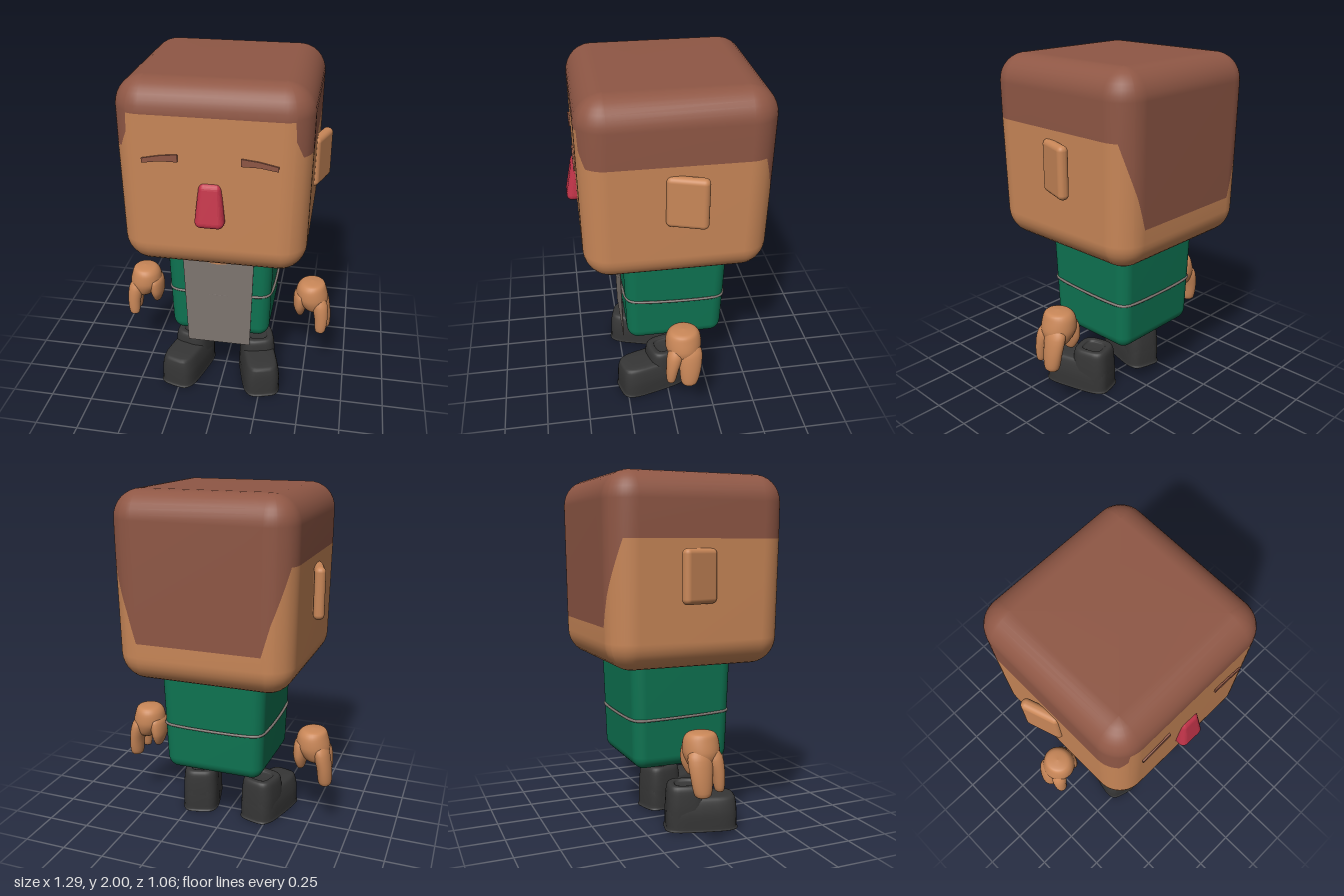
import * as THREE from 'three';
import { RoundedBoxGeometry } from 'three/addons/geometries/RoundedBoxGeometry.js';

const material = (name, color) => Object.assign(new THREE.MeshStandardMaterial({ color }), { name });
const { lerp, clamp, degToRad } = THREE.MathUtils;

// Closed surface through rings of points, listed bottom to top
function loft(rings) {
  const n = rings[0].length, index = [];
  for (let j = 0; j < rings.length - 1; j++) {
    for (let i = 0; i < n; i++) {
      const a = j * n + i, b = j * n + (i + 1) % n;
      index.push(a, b, b + n, a, b + n, a + n);
    }
  }
  const g = new THREE.BufferGeometry();
  g.setAttribute('position', new THREE.Float32BufferAttribute(rings.flat(2), 3));
  g.setIndex(index);
  g.computeVertexNormals();
  return g;
}

// Directions round a rounded rectangle: a is the angle away from the z axis
const ANGLES = [0, 9, 18, 25, 28, 36, 45, 52, 58, 66, 74, 82, 90];
const AROUND = [[1, 1], [1, -1], [-1, -1], [-1, 1]].flatMap(([sx, sz]) =>
  (sx * sz > 0 ? ANGLES : [...ANGLES].reverse()).map(a => ({ a, sx, sz })));

// Rounded, tapered block; lower / upper edge functions cut it open along a line
function block({ hw, hd, r, y0, y1, z, taper }, { lower, upper } = {}) {
  const point = (k, phi, y) => {
    const q = r * Math.cos(phi), a = degToRad(k.a), s = taper(y);
    return [k.sx * (hw - r + q * Math.sin(a)) * s, y, z + k.sz * (hd - r + q * Math.cos(a)) * s];
  };
  const edge = f => AROUND.map(k => point(k, 0, f(k)));
  const arc = (from, to, yc) => Array.from({ length: 9 }, (_, i) => {
    const phi = lerp(from, to, i / 8);
    return AROUND.map(k => point(k, phi, yc + r * Math.sin(phi)));
  });
  const centre = y => AROUND.map(() => [0, y, z]);
  return loft([
    ...(lower ? [edge(lower)] : [centre(y0), ...arc(-Math.PI / 2, 0, y0 + r)]),
    ...(upper ? [edge(upper)] : [...arc(0, Math.PI / 2, y1 - r), centre(y1)]),
  ]);
}

// Soft form through rows [x, y, z, half width, half depth]; n sets squareness
function limb(rows, n = 2, steps = 4) {
  const path = new THREE.CatmullRomCurve3(rows.map(r => new THREE.Vector3(r[0], r[1], r[2])), false, 'catmullrom', 0.4);
  const size = new THREE.CatmullRomCurve3(rows.map(r => new THREE.Vector3(r[3], r[4], 0)), false, 'catmullrom', 0.4);
  const count = (rows.length - 1) * steps, sides = 32;
  const power = v => Math.sign(v) * Math.abs(v) ** (2 / n);
  return loft(Array.from({ length: count + 1 }, (_, j) => {
    const c = path.getPoint(j / count), s = size.getPoint(j / count);
    return Array.from({ length: sides }, (_, i) => {
      const t = i / sides * Math.PI * 2;
      return [c.x + Math.max(0, s.x) * power(Math.sin(t)), c.y, c.z + Math.max(0, s.y) * power(Math.cos(t))];
    });
  }));
}

// Thin plate from an outline
function plate(points, depth = 0.005) {
  const shape = new THREE.Shape(points.map(p => new THREE.Vector2(...p)));
  return new THREE.ExtrudeGeometry(shape, { depth, bevelEnabled: false });
}

// Height of the hairline at each place round the head
function hairline({ a, sz }) {
  const stops = sz > 0
    ? [[0, 1.84], [25, 1.84], [28, 1.74], [45, 1.655], [90, 1.655]]
    : [[0, 1.2], [18, 1.37], [58, 1.655], [90, 1.655]];
  const i = stops.findIndex(s => s[0] >= a);
  if (i === 0) return stops[0][1];
  const [p, q] = [stops[i - 1], stops[i]];
  return lerp(p[1], q[1], (a - p[0]) / (q[0] - p[0]));
}

export function createModel() {
  const model = new THREE.Group();
  model.name = 'figure';
  const skin = material('skin', 0xc98758);
  const hair = material('hair', 0x8f5745);
  const green = material('green cloth', 0x0e7452);
  const grey = material('grey cloth', 0x7f7671);
  const red = material('red nose', 0xc03348);
  const dark = material('dark shoe', 0x363636);
  const add = (name, geometry, mat, parent = model) => {
    const mesh = new THREE.Mesh(geometry, mat);
    mesh.name = name;
    parent.add(mesh);
    return mesh;
  };

  // Head, split along the hairline
  const headForm = {
    hw: 0.503, hd: 0.505, r: 0.15, y0: 0.97, y1: 2, z: -0.025,
    taper: y => lerp(0.978, 1, clamp((y - 0.97) / 0.75, 0, 1)),
  };
  add('head', block(headForm, { upper: hairline }), skin);
  add('hair', block(headForm, { lower: hairline }), hair);

  // Nose, narrower and flatter at the top
  const nose = new RoundedBoxGeometry(0.16, 0.24, 0.1, 4, 0.035);
  const p = nose.attributes.position;
  for (let i = 0; i < p.count; i++) {
    const t = p.getY(i) / 0.24 + 0.5;
    p.setX(i, p.getX(i) * lerp(1, 0.72, t));
    p.setZ(i, p.getZ(i) - 0.045 * t);
  }
  nose.computeVertexNormals();
  add('nose', nose, red).position.set(0, 1.38, 0.485);

  // Body with a cord round it
  const bodyForm = {
    hw: 0.307, hd: 0.298, r: 0.07, y0: 0.39, y1: 1.08, z: -0.046,
    taper: y => lerp(0.94, 1, clamp((y - 0.39) / 0.58, 0, 1)),
  };
  add('body', block(bodyForm), green);
  const cordPoints = AROUND.filter(k => k.a % 45 === 0).map(({ a, sx, sz }) => {
    const t = degToRad(a), s = 0.972;
    const z = bodyForm.z + sz * (0.228 + 0.07 * Math.cos(t)) * s;
    return new THREE.Vector3(sx * (0.237 + 0.07 * Math.sin(t)) * s, 0.682 + 0.03 * z, z);
  });
  const cordPath = new THREE.CatmullRomCurve3(cordPoints, true, 'centripetal');
  add('cord', new THREE.TubeGeometry(cordPath, 120, 0.008, 8, true), grey);

  // Apron with the open neck and collar on top
  const apron = new THREE.Group();
  apron.name = 'apron';
  apron.position.z = 0.246;
  apron.rotation.x = 0.016;
  model.add(apron);
  add('apronCloth', plate([[-0.185, 0.35], [0.185, 0.35], [0.205, 1], [-0.205, 1]]), grey, apron);
  add('neckOpening', plate([[-0.085, 0.92], [-0.04, 0.905], [0, 0.9], [0.04, 0.905], [0.085, 0.92], [0.1, 0.99], [-0.1, 0.99]], 0.007), skin, apron);

  for (const side of [1, -1]) {
    const half = new THREE.Group();
    half.name = side > 0 ? 'leftSide' : 'rightSide';
    half.scale.x = side;
    model.add(half);

    // Collar, eyebrow and ear
    const collar = add('collar', plate([[0.08, 0.925], [0.185, 0.945], [0.185, 0.96], [0.07, 0.965]], 0.008), green, half);
    collar.position.z = 0.246;
    collar.rotation.x = 0.016;
    add('eyebrow', plate([[0.16, 1.605], [0.25, 1.605], [0.345, 1.59], [0.345, 1.615], [0.25, 1.635], [0.16, 1.645]], 0.009), hair, half).position.z = 0.479;
    const ear = add('ear', new RoundedBoxGeometry(0.06, 0.285, 0.22, 4, 0.028), skin, half);
    ear.position.set(0.52, 1.462, -0.06);
    ear.rotation.y = -0.32;

    // Hand: palm, thumb and two fingers
    const hand = new THREE.Group();
    hand.name = 'hand';
    half.add(hand);
    add('palm', limb([
      [0.54, 0.43, -0.05, 0, 0], [0.54, 0.47, -0.05, 0.06, 0.07], [0.525, 0.54, -0.05, 0.098, 0.1],
      [0.52, 0.61, -0.05, 0.088, 0.095], [0.525, 0.645, -0.05, 0.065, 0.07], [0.525, 0.655, -0.05, 0, 0],
    ]), skin, hand);
    add('thumb', limb([
      [0.46, 0.39, -0.06, 0, 0], [0.458, 0.41, -0.06, 0.022, 0.04], [0.455, 0.48, -0.055, 0.042, 0.08],
      [0.465, 0.57, -0.05, 0.045, 0.08], [0.49, 0.62, -0.05, 0, 0],
    ]), skin, hand);
    add('frontFinger', limb([
      [0.59, 0.328, 0.03, 0, 0], [0.59, 0.345, 0.028, 0.03, 0.025], [0.59, 0.43, 0.02, 0.04, 0.036],
      [0.575, 0.53, 0, 0.045, 0.045], [0.55, 0.62, -0.02, 0, 0],
    ]), skin, hand);
    add('backFinger', limb([
      [0.605, 0.313, -0.075, 0, 0], [0.607, 0.33, -0.075, 0.037, 0.045], [0.6, 0.43, -0.08, 0.043, 0.062],
      [0.575, 0.54, -0.08, 0.045, 0.065], [0.55, 0.62, -0.07, 0, 0],
    ]), skin, hand);

    // Shoe turned outwards, with a hollow ankle opening
    const shoe = new THREE.Group();
    shoe.name = 'shoe';
    shoe.position.set(0.225, 0, 0.09);
    shoe.rotation.y = 0.27;
    half.add(shoe);
    add('foot', limb([
      [0, 0, 0, 0, 0], [0, 0, 0, 0.108, 0.202], [0, 0.015, 0, 0.112, 0.206], [0, 0.1, 0, 0.112, 0.206],
      [0, 0.165, 0, 0.1, 0.2], [0, 0.195, 0, 0.08, 0.175], [0, 0.202, 0, 0, 0],
    ], 4), dark, shoe);
    add('ankle', limb([
      [0, 0.02, -0.09, 0.108, 0.115], [0, 0.14, -0.09, 0.108, 0.115], [0, 0.235, -0.09, 0.1, 0.108],
      [0, 0.263, -0.09, 0.086, 0.094], [0, 0.263, -0.09, 0.06, 0.066], [0, 0.25, -0.09, 0.05, 0.056], [0, 0.245, -0.09, 0, 0],
    ], 3.2), dark, shoe);
  }
  return model;
}
